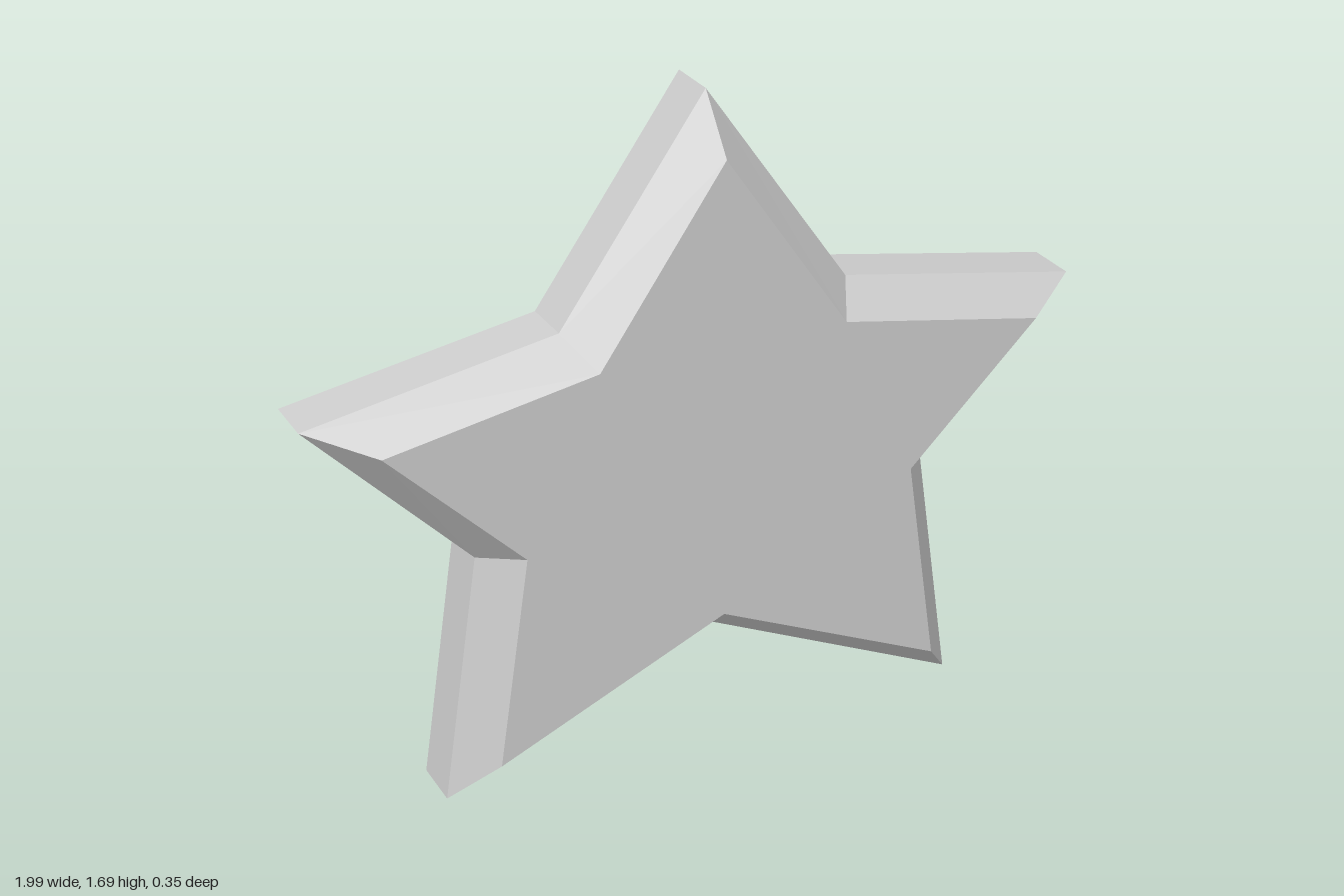
import * as THREE from 'three';

// Half outlines (top tip down to the bottom notch), mirrored into full clockwise stars
const RIM = [[0, 1.695], [0.37, 1.168], [0.997, 1.055], [0.595, 0.643], [0.69, 0.003], [0, 0.318]];
const FACE = [[0, 1.56], [0.317, 1.1], [0.845, 1.003], [0.507, 0.668], [0.588, 0.128], [0, 0.392]];

function fullOutline(half) {
  const mirrored = half.slice(1, -1).reverse().map(([x, y]) => [-x, y]);
  return [...half, ...mirrored];
}

export function createModel() {
  const group = new THREE.Group();
  const grey = new THREE.MeshStandardMaterial({ color: 0xcccccc });
  grey.name = 'light grey';
  grey.flatShading = true;

  // Cross-sections from front to back
  const sections = [[FACE, 0.174], [RIM, 0.068], [RIM, -0.068], [FACE, -0.174]];
  const positions = [];
  const index = [];
  for (const [half, z] of sections) {
    for (const [x, y] of fullOutline(half)) positions.push(x, y, z);
  }
  const n = 10;
  const frontCentre = sections.length * n;
  const backCentre = frontCentre + 1;
  positions.push(0, 0.85, 0.174, 0, 0.85, -0.174);

  for (let i = 0; i < n; i++) {
    const j = (i + 1) % n;
    // Front bevel, side wall and back bevel
    for (let s = 0; s < sections.length - 1; s++) {
      const a = s * n + i, b = s * n + j, c = a + n, d = b + n;
      index.push(a, b, c, b, d, c);
    }
    // Flat front and back faces
    const last = (sections.length - 1) * n;
    index.push(frontCentre, j, i, backCentre, last + i, last + j);
  }

  const indexed = new THREE.BufferGeometry();
  indexed.setAttribute('position', new THREE.Float32BufferAttribute(positions, 3));
  indexed.setIndex(index);
  const geometry = indexed.toNonIndexed();
  geometry.computeVertexNormals();

  const star = new THREE.Mesh(geometry, grey);
  star.name = 'bevelledStar';
  group.add(star);
  return group;
}
